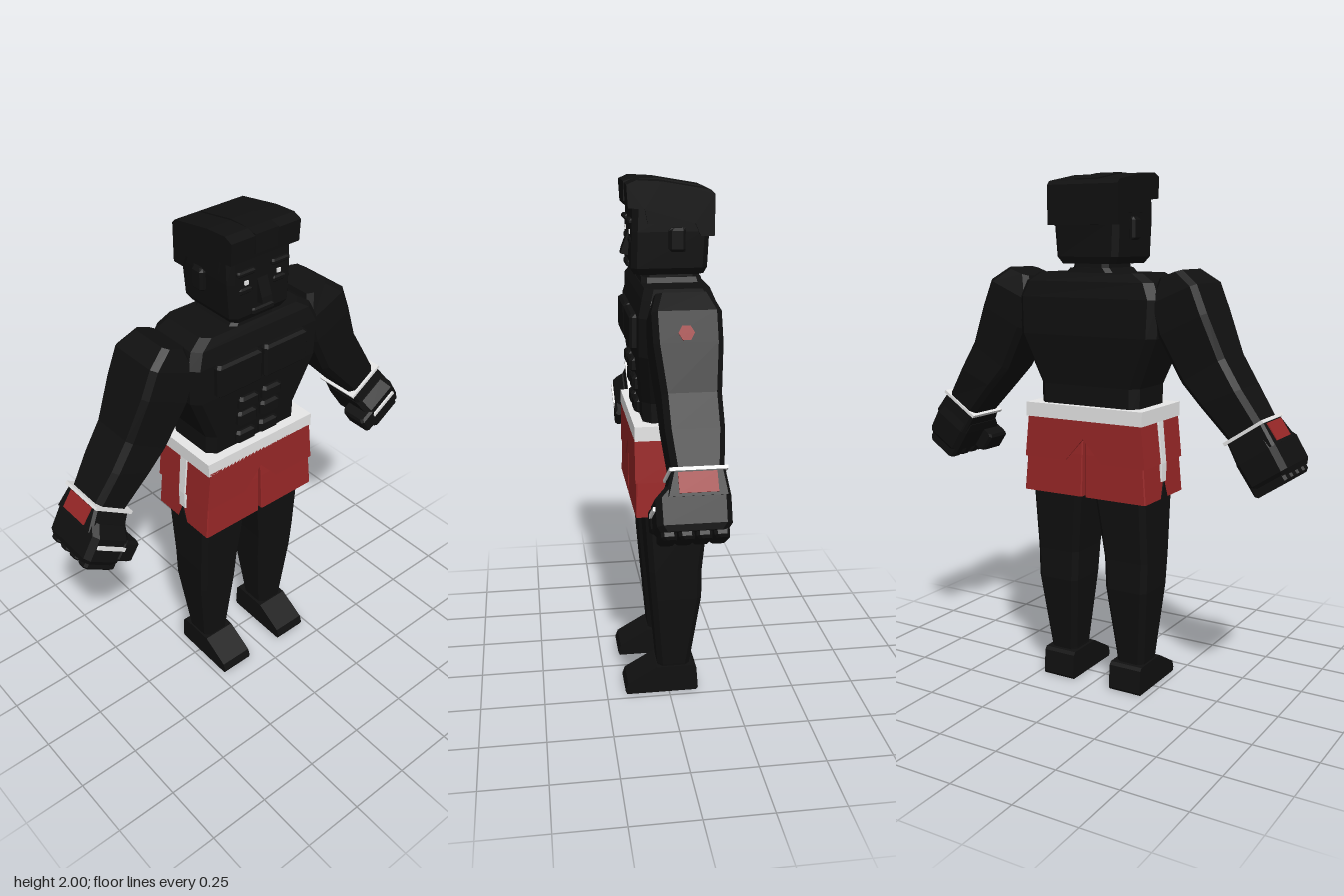
import * as THREE from 'three';

const mat = (name, color) => Object.assign(new THREE.MeshStandardMaterial({ color }), { name });

export function createModel() {
  const root = new THREE.Group();
  root.name = 'fighter';
  const black = mat('black', 0x101010), red = mat('red', 0x982727), white = mat('white', 0xe8e8e8);

  const add = (name, geo, material, parent = root) => {
    const mesh = new THREE.Mesh(geo, material);
    mesh.name = name;
    parent.add(mesh);
    return mesh;
  };

  // Faceted body from chamfered rectangles, bottom to top: [xa, ya, xb, yb, zBack, zFront]
  function loft(sections, ch = 0.02) {
    const pos = [], idx = [];
    sections.forEach(([xa, ya, xb, yb, z0, z1]) => {
      const c = Math.min(ch / Math.hypot(xb - xa, yb - ya), 0.45);
      [[c, z1], [1 - c, z1], [1, z1 - ch], [1, z0 + ch], [1 - c, z0], [c, z0], [0, z0 + ch], [0, z1 - ch]]
        .forEach(([s, z]) => pos.push(xa + (xb - xa) * s, ya + (yb - ya) * s, z));
    });
    const top = (sections.length - 1) * 8;
    for (let k = 0; k < top; k += 8) {
      for (let i = 0; i < 8; i++) {
        const j = (i + 1) % 8;
        idx.push(k + i, k + j, k + 8 + j, k + i, k + 8 + j, k + 8 + i);
      }
    }
    for (let i = 1; i < 7; i++) idx.push(0, i + 1, i, top, top + i, top + i + 1);
    const g = new THREE.BufferGeometry();
    g.setAttribute('position', new THREE.Float32BufferAttribute(pos, 3));
    g.setIndex(idx);
    const flat = g.toNonIndexed();
    flat.computeVertexNormals();
    return flat;
  }
  const level = ([y, x0, x1, z0, z1]) => [x0, y, x1, y, z0, z1];
  const sym = ([y, x, z0, z1]) => [-x, y, x, y, z0, z1];
  const mirror = (secs, s) => s > 0 ? secs : secs.map(([xa, ya, xb, yb, z0, z1]) => [-xb, yb, -xa, ya, z0, z1]);
  const box = (x0, x1, y0, y1, z0, z1) => new THREE.BoxGeometry(x1 - x0, y1 - y0, z1 - z0)
    .translate((x0 + x1) / 2, (y0 + y1) / 2, (z0 + z1) / 2);
  const sideBox = (s, x0, x1, ...r) => s > 0 ? box(x0, x1, ...r) : box(-x1, -x0, ...r);
  const slab = (x0, x1, y0, y1, z0, z1, ch = 0.01) => loft([
    [x0 + ch, y0, x1 - ch, y0, z0, z1 - ch], [x0, y0 + ch, x1, y0 + ch, z0, z1],
    [x0, y1 - ch, x1, y1 - ch, z0, z1], [x0 + ch, y1, x1 - ch, y1, z0, z1 - ch]], ch);
  const sideSlab = (s, x0, x1, ...r) => s > 0 ? slab(x0, x1, ...r) : slab(-x1, -x0, ...r);
  const extrude = (pts, depth) => new THREE.ExtrudeGeometry(
    new THREE.Shape(pts.map(p => new THREE.Vector2(...p))), { depth, bevelEnabled: false });
  // Side profile given as (z, y), extruded across x and centred
  const prism = (pts, width) => extrude(pts, width).translate(0, 0, -width / 2).rotateY(-Math.PI / 2);

  // Head and face
  add('head', loft([[1.665, 0.115, -0.14, 0.115], [1.69, 0.132, -0.15, 0.128],
    [1.82, 0.14, -0.155, 0.125], [1.93, 0.14, -0.155, 0.12]].map(sym)), black);
  add('hair', prism([[0.14, 1.905], [0.145, 1.985], [0.11, 2], [0.02, 1.995], [-0.155, 1.965], [-0.17, 1.95],
    [-0.17, 1.805], [-0.12, 1.805], [-0.1, 1.85], [0.07, 1.85], [0.08, 1.9]].reverse(), 0.3), black);
  add('hairRidge', prism([[0.146, 1.92], [0.146, 1.99], [0.11, 2], [0.02, 2], [-0.14, 1.972], [-0.14, 1.95]].reverse(), 0.1), black);
  add('nose', prism([[0.11, 1.72], [0.155, 1.73], [0.15, 1.75], [0.125, 1.815], [0.11, 1.815]], 0.045), black);
  add('lips', slab(-0.05, 0.05, 1.685, 1.71, 0.1, 0.138, 0.006), black);
  add('neck', loft([[1.58, 0.08, -0.13, 0.08], [1.68, 0.075, -0.12, 0.075]].map(sym)), black);

  // Torso with chest and stomach muscles
  add('torso', loft([[1.1, 0.215, -0.145, 0.095], [1.21, 0.215, -0.145, 0.1], [1.4, 0.295, -0.168, 0.12],
    [1.54, 0.3, -0.165, 0.12], [1.6, 0.275, -0.155, 0.105], [1.632, 0.225, -0.145, 0.09]].map(sym), 0.03), black);
  add('collar', loft([[1.62, 0.11, -0.14, 0.09], [1.65, 0.085, -0.135, 0.085]].map(sym)), black);

  // Shorts: upper panel with a notch, waistband
  add('shortsUpper', extrude([[-0.247, 1.09], [-0.265, 0.92], [-0.08, 0.92], [0, 1.01], [0.08, 0.92],
    [0.265, 0.92], [0.247, 1.09]], 0.303).translate(0, 0, -0.168), red);
  add('waistband', box(-0.255, 0.255, 1.08, 1.135, -0.172, 0.135), white);

  for (const s of [1, -1]) {
    const side = s > 0 ? 'left' : 'right';
    // Face details
    add(side + 'Ear', sideSlab(s, 0.13, 0.16, 1.75, 1.835, -0.065, -0.005), black);
    add(side + 'Brow', sideSlab(s, 0.035, 0.115, 1.845, 1.865, 0.1, 0.138, 0.006), black);
    add(side + 'Eye', sideBox(s, 0.064, 0.08, 1.808, 1.823, 0.122, 0.13), white);
    add(side + 'Cheek', sideSlab(s, 0.045, 0.105, 1.775, 1.798, 0.1, 0.132, 0.006), black);

    // Muscles
    add(side + 'Chest', sideSlab(s, 0.005, 0.21, 1.41, 1.54, 0.08, 0.146), black);
    [[1.3, 1.355, 0.135], [1.225, 1.285, 0.125], [1.14, 1.195, 0.118]].forEach(([y0, y1, z]) =>
      add(side + 'Abdominal', sideSlab(s, 0.01, 0.1, y0, y1, 0.06, z), black));

    // Leg and foot
    add(side + 'Leg', loft(mirror([[0.08, 0.095, 0.21, -0.08, 0.04], [0.12, 0.095, 0.215, -0.085, 0.045],
      [0.42, 0.065, 0.245, -0.125, 0.07], [0.54, 0.06, 0.248, -0.125, 0.08],
      [0.8, 0.03, 0.25, -0.15, 0.097]].map(level), s)), black);
    const foot = add(side + 'Foot', prism([[-0.117, 0.01], [-0.11, 0], [0.17, 0], [0.176, 0.015], [0.165, 0.045],
      [0.05, 0.112], [-0.1, 0.112], [-0.11, 0.1]], 0.138), black);
    foot.position.x = 0.153 * s;

    // Shorts leg with side stripe and slit
    add(side + 'ShortsLeg', loft(mirror([[0.785, 0.008, 0.27, -0.168, 0.134], [0.95, 0.006, 0.256, -0.164, 0.13],
      [1.02, 0.005, 0.25, -0.16, 0.125]].map(level), s), 0.004), red);
    add(side + 'Stripe', loft(mirror([[0.85, 0.258, 0.27, -0.038, 0], [0.92, 0.258, 0.27, -0.038, 0],
      [1.085, 0.242, 0.254, -0.04, 0]].map(level), s), 0.002), white);
    add(side + 'Slit', prism([[-0.045, 0.784], [0.01, 0.784], [-0.018, 0.85]], 0.008), black)
      .position.x = 0.267 * s;

    // Arm, from wrist to shoulder
    add(side + 'Arm', loft(mirror([
      [0.57, 1.045, 0.69, 1.125, -0.115, 0.06], [0.455, 1.17, 0.615, 1.24, -0.13, 0.072],
      [0.385, 1.245, 0.55, 1.345, -0.13, 0.075], [0.295, 1.41, 0.486, 1.5, -0.145, 0.093],
      [0.26, 1.52, 0.445, 1.6, -0.145, 0.095], [0.285, 1.615, 0.375, 1.648, -0.12, 0.07]], s)), black);

    // Glove, tilted along the forearm
    const glove = new THREE.Group();
    glove.name = side + 'Glove';
    glove.position.set(0.63 * s, 1.087, 0);
    glove.rotation.z = 0.59 * s;
    root.add(glove);
    add('wristBand', sideBox(s, -0.087, 0.087, -0.006, 0.006, -0.122, 0.072), white, glove);
    add('cuff', loft(mirror([[-0.09, -0.085, 0.082, -0.125, 0.09],
      [-0.005, -0.08, 0.08, -0.115, 0.065]].map(level), s), 0.01), black, glove);
    add('fist', loft(mirror([[-0.2, -0.075, 0.065, -0.11, 0.11], [-0.18, -0.09, 0.075, -0.125, 0.123],
      [-0.09, -0.09, 0.08, -0.128, 0.123], [-0.05, -0.085, 0.075, -0.12, 0.085]].map(level), s)), black, glove);
    add('thumb', sideSlab(s, -0.138, -0.06, -0.175, -0.09, 0.01, 0.128), black, glove);
    add('cuffPatch', sideBox(s, 0.076, 0.085, -0.08, -0.01, -0.085, 0.045), red, glove);
    add('gloveStripe', sideBox(s, -0.075, 0.055, -0.129, -0.115, 0.122, 0.131), white, glove);
    for (let i = 0; i < 4; i++) {
      const z = -0.115 + i * 0.058;
      add('finger', sideSlab(s, -0.09, 0.055, -0.224, -0.15, z, z + 0.052), black, glove);
    }
  }

  // Painted mark on the left upper arm
  const mark = add('armMark', new THREE.CylinderGeometry(0.028, 0.028, 0.008, 6), red);
  mark.position.set(0.474, 1.53, -0.018);
  mark.rotation.z = -1.18;

  return root;
}
